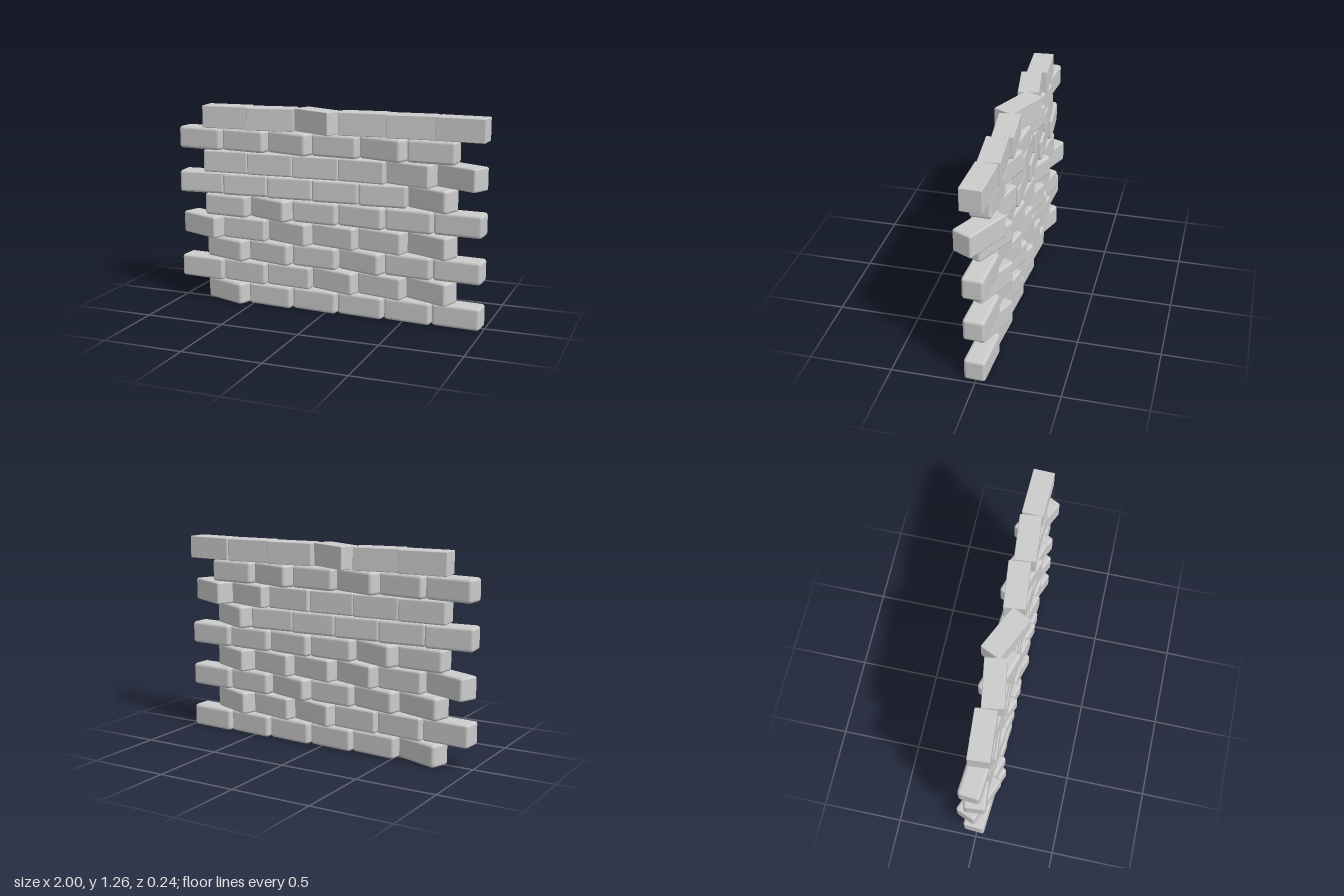
import * as THREE from 'three';
import { RoundedBoxGeometry } from 'three/addons/geometries/RoundedBoxGeometry.js';

// Turn of each brick about the vertical, in degrees: bottom course first, right to left along x
const COURSES = [
  { radius: 0.02, turns: [-20, -5, -5, -5, -5, -3] },
  { radius: 0.015, turns: [-4, -6, -5, -16, -12, -22] },
  { radius: 0.02, turns: [-17, -13, -5, -17, -6, -3] },
  { radius: 0.015, turns: [-22, -5, -18, -13, -13, -24] },
  { radius: 0.02, turns: [-4, -22, -4, -8, -4, -3] },
  { radius: 0.018, turns: [5, 5, 4, 3, 4, -26] },
  { radius: 0.012, turns: [3, 3, 3, -3, -16, -26] },
  { radius: 0.02, turns: [-5, -7, -17, -5, -18, -2] },
  { radius: 0.005, turns: [4, 9, -25, 6, 5, -2] },
];
const LENGTH = 0.298, DEPTH = 0.13, HEIGHT = 0.1405, PITCH = 0.3025;

export function createModel() {
  const wall = new THREE.Group();
  wall.name = 'brickWall';
  const material = new THREE.MeshStandardMaterial({ color: 0xcccccc });

  COURSES.forEach(({ radius, turns }, row) => {
    const course = new THREE.Group();
    course.name = `course${row + 1}`;
    // Running bond: every other course shifts by about half a brick
    course.position.set(row % 2 ? -0.092 : 0.08, (row + 0.5) * HEIGHT, 0);
    const geometry = new RoundedBoxGeometry(LENGTH, HEIGHT, DEPTH, 2, radius);
    turns.forEach((turn, i) => {
      const brick = new THREE.Mesh(geometry, material);
      brick.name = `brick${i + 1}`;
      brick.position.x = (i - 2.5) * PITCH;
      brick.rotation.y = THREE.MathUtils.degToRad(turn);
      course.add(brick);
    });
    wall.add(course);
  });
  return wall;
}
